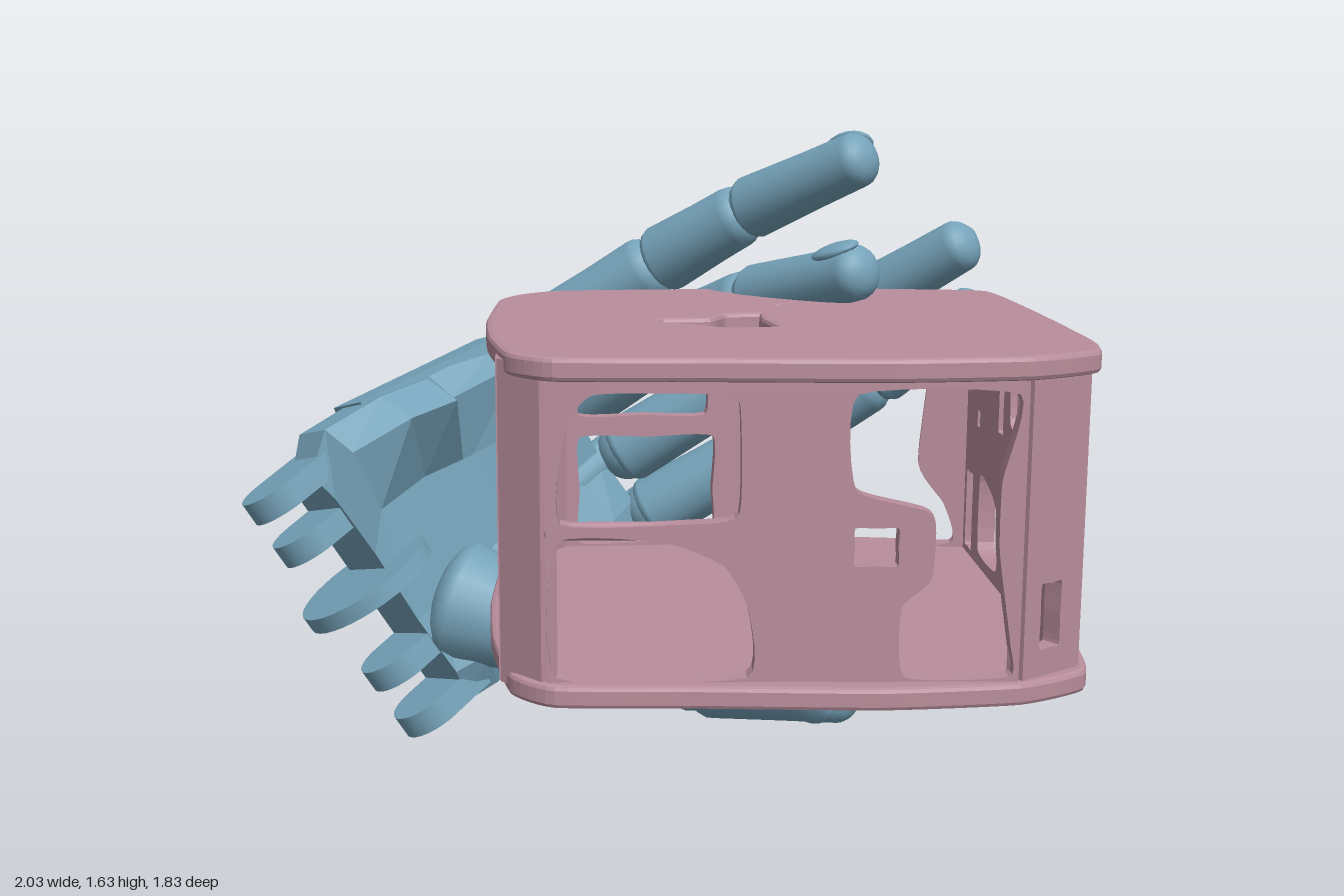
import * as THREE from 'three';

const V3 = (a) => new THREE.Vector3(...a);
const blue = new THREE.MeshStandardMaterial({ color: 0x76a3ba });
const blueFlat = new THREE.MeshStandardMaterial({ color: 0x76a3ba, flatShading: true, side: THREE.DoubleSide });
const pink = new THREE.MeshStandardMaterial({ color: 0xb98e9c, side: THREE.DoubleSide });

function add(parent, name, geometry, material) {
  const mesh = new THREE.Mesh(geometry, material);
  mesh.name = name;
  parent.add(mesh);
  return mesh;
}

// closed, slightly rounded outline through a few points
function softOutline(pts, tension = 0.25) {
  const curve = new THREE.CatmullRomCurve3(pts.map(([x, y]) => new THREE.Vector3(x, y, 0)), true, 'catmullrom', tension);
  return curve.getPoints(pts.length * 6).slice(0, -1).map((p) => new THREE.Vector2(p.x, p.y));
}

// ---------- hollow, eroded box ----------
const OUTLINE = [[-0.18, -0.4], [0.15, -0.43], [0.5, -0.45], [0.8, -0.41], [0.95, -0.36], [0.97, 0.1], [0.97, 0.6],
  [0.94, 0.77], [0.79, 0.86], [0.5, 0.89], [0.1, 0.87], [-0.18, 0.86], [-0.27, 0.77], [-0.32, 0.5], [-0.34, 0.2],
  [-0.33, -0.2], [-0.28, -0.32]];
const TOP_HOLES = [
  [[0.17, 0.2], [0.21, 0.12], [0.31, 0.1], [0.31, 0.2], [0.33, 0.37], [0.2, 0.39], [0.13, 0.33], [0.04, 0.28], [0.06, 0.21]],
  [[0.35, -0.08], [0.38, -0.08], [0.38, -0.04], [0.35, -0.04]],
];

function slab(parent, name, topY, holes) {
  const shape = new THREE.Shape(softOutline(OUTLINE));
  holes.forEach((h) => shape.holes.push(new THREE.Path(softOutline(h))));
  const g = new THREE.ExtrudeGeometry(shape, { depth: 0.03, bevelSize: 0.012, bevelThickness: 0.01, bevelSegments: 2 });
  g.rotateX(Math.PI / 2);
  add(parent, name, g, pink).position.y = topY - 0.01;
}

// upright wall from a to b (x, z); holes are drawn as (coordinate along axis, height)
function wall(parent, name, a, b, axis, holes = []) {
  const shape = new THREE.Shape([[a[axis], 0.49], [b[axis], 0.49], [b[axis], 1.19], [a[axis], 1.19]].map((p) => new THREE.Vector2(...p)));
  holes.forEach((h) => shape.holes.push(new THREE.Path(softOutline(h))));
  const g = new THREE.ExtrudeGeometry(shape, { depth: 0.045, bevelEnabled: false });
  const len = Math.hypot(b[0] - a[0], b[1] - a[1]);
  const nx = (b[1] - a[1]) / len, nz = -(b[0] - a[0]) / len;
  const p = g.attributes.position;
  for (let i = 0; i < p.count; i++) {
    const t = (p.getX(i) - a[axis]) / (b[axis] - a[axis]);
    const w = p.getZ(i) - 0.015;
    p.setXYZ(i, a[0] + (b[0] - a[0]) * t + nx * w, p.getY(i), a[1] + (b[1] - a[1]) * t + nz * w);
  }
  g.computeVertexNormals();
  add(parent, name, g, pink);
}

const rect = (x0, x1, y0, y1) => [[x0, y0], [(x0 + x1) / 2, y0], [x1, y0], [x1, (y0 + y1) / 2], [x1, y1], [(x0 + x1) / 2, y1], [x0, y1], [x0, (y0 + y1) / 2]];

function buildBox() {
  const box = new THREE.Group();
  box.name = 'erodedBox';
  slab(box, 'boxTop', 1.21, TOP_HOLES);
  slab(box, 'boxBottom', 0.52, []);
  // wall corners, running around the box
  const c = [[-0.29, 0.73], [-0.2, 0.83], [0.79, 0.84], [0.93, 0.74], [0.93, -0.34], [0.5, -0.41], [-0.19, -0.37], [-0.31, -0.22]];
  const windows = [
    [[-0.17, 0.86], [0.1, 0.86], [0.2, 0.88], [0.2, 1.1], [0.17, 1.13], [-0.1, 1.13], [-0.16, 1.05]],
    [[-0.18, 0.53], [0.22, 0.53], [0.22, 0.68], [0.17, 0.77], [0.05, 0.82], [-0.18, 0.82]],
    [[0.44, 1.13], [0.77, 1.13], [0.74, 0.95], [0.74, 0.8], [0.77, 0.6], [0.77, 0.53], [0.55, 0.53], [0.54, 0.68], [0.6, 0.74], [0.6, 0.88], [0.44, 0.93]],
    rect(0.44, 0.53, 0.77, 0.85),
  ];
  wall(box, 'frontWall', c[1], c[2], 0, windows);
  wall(box, 'frontRightCorner', c[0], c[1], 0);
  wall(box, 'frontLeftCorner', c[2], c[3], 0, [rect(0.83, 0.88, 0.58, 0.72)]);
  wall(box, 'leftWall', c[3], c[4], 1, [
    [[0.2, 0.95], [0.34, 0.93], [0.33, 1.02], [0.26, 1.08], [0.19, 1.08]],
    rect(0.07, 0.12, 0.91, 1.04), rect(0.15, 0.39, 0.54, 0.65),
    [[-0.12, 0.56], [0.1, 0.56], [0.09, 0.7], [0.02, 0.74], [-0.12, 0.76]],
    [[-0.18, 1.0], [-0.28, 0.96], [-0.29, 1.12], [-0.18, 1.13]],
    rect(-0.29, -0.21, 0.54, 0.74), rect(-0.18, -0.15, 0.88, 0.92)]);
  wall(box, 'backWallLeftHalf', c[4], c[5], 0, [
    [[0.54, 0.53], [0.87, 0.53], [0.85, 0.64], [0.78, 0.75], [0.8, 1.13], [0.54, 1.13]]]);
  wall(box, 'backWallRightHalf', c[5], c[6], 0, [
    rect(-0.14, 0.22, 0.53, 0.82), rect(-0.14, 0.2, 0.88, 1.13), rect(0.4, 0.47, 0.95, 1.12)]);
  wall(box, 'backRightCorner', c[6], c[7], 1);
  wall(box, 'rightWall', c[7], c[0], 1, [
    rect(0.13, 0.4, 0.54, 0.64), rect(-0.19, -0.1, 0.6, 1.1), rect(0.5, 0.62, 0.8, 1.05)]);
  // broken ribs inside the window openings
  const rib = add(box, 'windowRib', new THREE.CapsuleGeometry(0.02, 0.34, 4, 10), pink);
  rib.rotation.z = Math.PI / 2;
  rib.position.set(-0.02, 0.84, 0.82);
  const corner = add(box, 'cornerRib', new THREE.CapsuleGeometry(0.03, 0.62, 4, 10), pink);
  corner.position.set(0.92, 0.85, -0.35);
  return box;
}

// ---------- hand ----------
// tapered rounded segment between two points
function segment(parent, name, a, b, r0, r1) {
  const dir = b.clone().sub(a), len = dir.length(), pts = [];
  for (let i = 0; i <= 5; i++) {
    const t = (i / 5) * Math.PI / 2;
    pts.push(new THREE.Vector2(r0 * Math.sin(t), -r0 * 0.45 * Math.cos(t)));
  }
  pts.push(new THREE.Vector2((r0 + r1) * 0.485, len * 0.5));
  for (let i = 0; i <= 6; i++) {
    const t = (i / 6) * Math.PI / 2;
    pts.push(new THREE.Vector2(r1 * Math.cos(t), len - r1 * 0.75 + r1 * 0.75 * Math.sin(t)));
  }
  const m = add(parent, name, new THREE.LatheGeometry(pts, 20), blue);
  m.position.copy(a);
  m.quaternion.setFromUnitVectors(new THREE.Vector3(0, 1, 0), dir.normalize());
  return m;
}

function finger(parent, name, path, radii, nailDir) {
  const g = new THREE.Group();
  g.name = name;
  parent.add(g);
  const p = path.map(V3), n = p.length - 1;
  for (let i = 0; i < n; i++) {
    segment(g, i === n - 1 ? 'fingertip' : 'phalanx', p[i], p[i + 1], radii[i], radii[i + 1]);
    add(g, 'joint', new THREE.SphereGeometry(radii[i] * 0.9, 16, 12), blue).position.copy(p[i]);
  }
  // nail lies on the outer side of the bend
  const d = p[n].clone().sub(p[n - 1]).normalize();
  const out = nailDir ? V3(nailDir) : p[n - 1].clone().sub(p[n - 2]);
  out.addScaledVector(d, -out.dot(d)).normalize();
  const nail = add(g, 'nail', new THREE.SphereGeometry(1, 16, 10), blue);
  nail.scale.set(radii[n] * 0.7, radii[n] * 1.0, 0.018);
  nail.quaternion.setFromRotationMatrix(new THREE.Matrix4().makeBasis(d.clone().cross(out), d, out));
  nail.position.copy(p[n]).addScaledVector(d, -radii[n] * 1.25).addScaledVector(out, radii[n] * 0.93);
}

// palm frame: x runs from wrist to knuckles, y across, z out of the palm
function buildPalm() {
  const palm = new THREE.Group();
  palm.name = 'palm';
  const n = V3([0.54, 0.23, 0.81]).normalize();
  const u = V3([0.66, 0.477, -0.578]);
  u.addScaledVector(n, -u.dot(n)).normalize();
  palm.quaternion.setFromRotationMatrix(new THREE.Matrix4().makeBasis(u, n.clone().cross(u), n));
  palm.position.set(-0.6, 0.05, -0.25);

  // cross-sections: along, low edge, high edge, thumb mound, outer mound, hollow
  const stations = [[0.15, -0.04, 0.72, 0.11, 0.11, 0.1], [0.24, -0.05, 0.8, 0.15, 0.17, 0.09], [0.42, -0.05, 0.78, 0.15, 0.2, 0.04],
    [0.56, -0.05, 0.74, 0.08, 0.2, 0.01], [0.6, -0.05, 0.73, 0.05, 0.1, 0.0], [0.85, -0.05, 0.68, 0.04, 0.07, 0.0], [0.95, -0.05, 0.66, 0.02, 0.04, 0.0]];
  const pos = [], idx = [], K = 9;
  for (const [x, lo, hi, thumb, outer, hollow] of stations) {
    [[lo, -0.1], [hi - 0.04, -0.1], [hi, -0.06], [hi, outer * 0.6], [hi - 0.08, outer], [hi - 0.26, hollow + 0.02],
      [lo + 0.28, hollow], [lo + 0.1, thumb], [lo, thumb * 0.6]].forEach(([y, z]) => pos.push(x, y, z));
  }
  for (let s = 0; s < stations.length - 1; s++) for (let k = 0; k < K; k++) {
    const a = s * K + k, b = s * K + (k + 1) % K;
    idx.push(a, a + K, b, b, a + K, b + K);
  }
  const last = (stations.length - 1) * K;
  pos.push(0.15, 0.35, -0.03, 0.95, 0.32, -0.05);
  const c0 = stations.length * K;
  for (let k = 0; k < K; k++) {
    const k2 = (k + 1) % K;
    idx.push(c0, k, k2, c0 + 1, last + k2, last + k);
  }
  const g = new THREE.BufferGeometry();
  g.setAttribute('position', new THREE.Float32BufferAttribute(pos, 3));
  g.setIndex(idx);
  g.computeVertexNormals();
  add(palm, 'palmBody', g, blueFlat);

  // wrist hinge lugs with rounded ends
  const lug = new THREE.Shape();
  lug.moveTo(0.22, -0.1).lineTo(0.22, 0.1).lineTo(0.08, 0.1).absarc(0.08, 0, 0.1, Math.PI / 2, Math.PI * 1.5, false);
  for (const y of [0.0, 0.16, 0.58, 0.72]) {
    const lg = new THREE.ExtrudeGeometry(lug, { depth: 0.065, bevelEnabled: false, curveSegments: 16 });
    lg.rotateX(Math.PI / 2);
    add(palm, 'wristLug', lg, blue).position.y = y + 0.033;
  }
  add(palm, 'wristDisc', new THREE.CylinderGeometry(0.19, 0.19, 0.045, 36), blue).position.set(0.12, 0.39, 0.03);

  // knuckle prongs and the plate along the outer edge
  for (const y of [0.0, 0.19, 0.39, 0.6]) {
    const k = add(palm, 'knuckleProng', new THREE.CapsuleGeometry(0.058, 0.16, 6, 14), blue);
    k.rotation.z = Math.PI / 2;
    k.position.set(0.93, y, -0.045);
  }
  const plate = add(palm, 'outerPlate', new THREE.BoxGeometry(0.5, 0.05, 0.17), blue);
  plate.position.set(0.63, 0.715, -0.03);
  plate.rotation.z = -0.2;
  return palm;
}

export function createModel() {
  const model = new THREE.Group();
  model.name = 'handHoldingBox';
  model.add(buildBox());
  const hand = new THREE.Group();
  hand.name = 'hand';
  model.add(hand);
  hand.add(buildPalm());
  const r = [0.1, 0.095, 0.085, 0.072];
  finger(hand, 'littleFinger', [[-0.24, 1.05, -0.7], [0.1, 1.28, -0.59], [0.33, 1.43, -0.44], [0.61, 1.58, -0.2]], r);
  finger(hand, 'ringFinger', [[-0.12, 0.87, -0.77], [0.15, 1.07, -0.62], [0.34, 1.2, -0.36], [0.59, 1.3, -0.05]], r);
  finger(hand, 'middleFinger', [[0.0, 0.7, -0.81], [0.36, 0.94, -0.72], [0.66, 1.16, -0.6], [0.92, 1.35, -0.41]], r);
  finger(hand, 'indexFinger', [[0.08, 0.52, -0.81], [0.42, 0.73, -0.74], [0.72, 0.95, -0.63], [0.97, 1.17, -0.48]], r);
  segment(hand, 'thumbMount', V3([-0.46, 0.36, -0.36]), V3([-0.18, 0.28, -0.3]), 0.17, 0.12);
  finger(hand, 'thumb', [[-0.32, 0.29, -0.38], [-0.02, 0.29, -0.14], [0.2, 0.3, 0.14], [0.5, 0.36, 0.46]], [0.125, 0.105, 0.1, 0.07], [-0.5, -0.2, 0.6]);
  return model;
}
